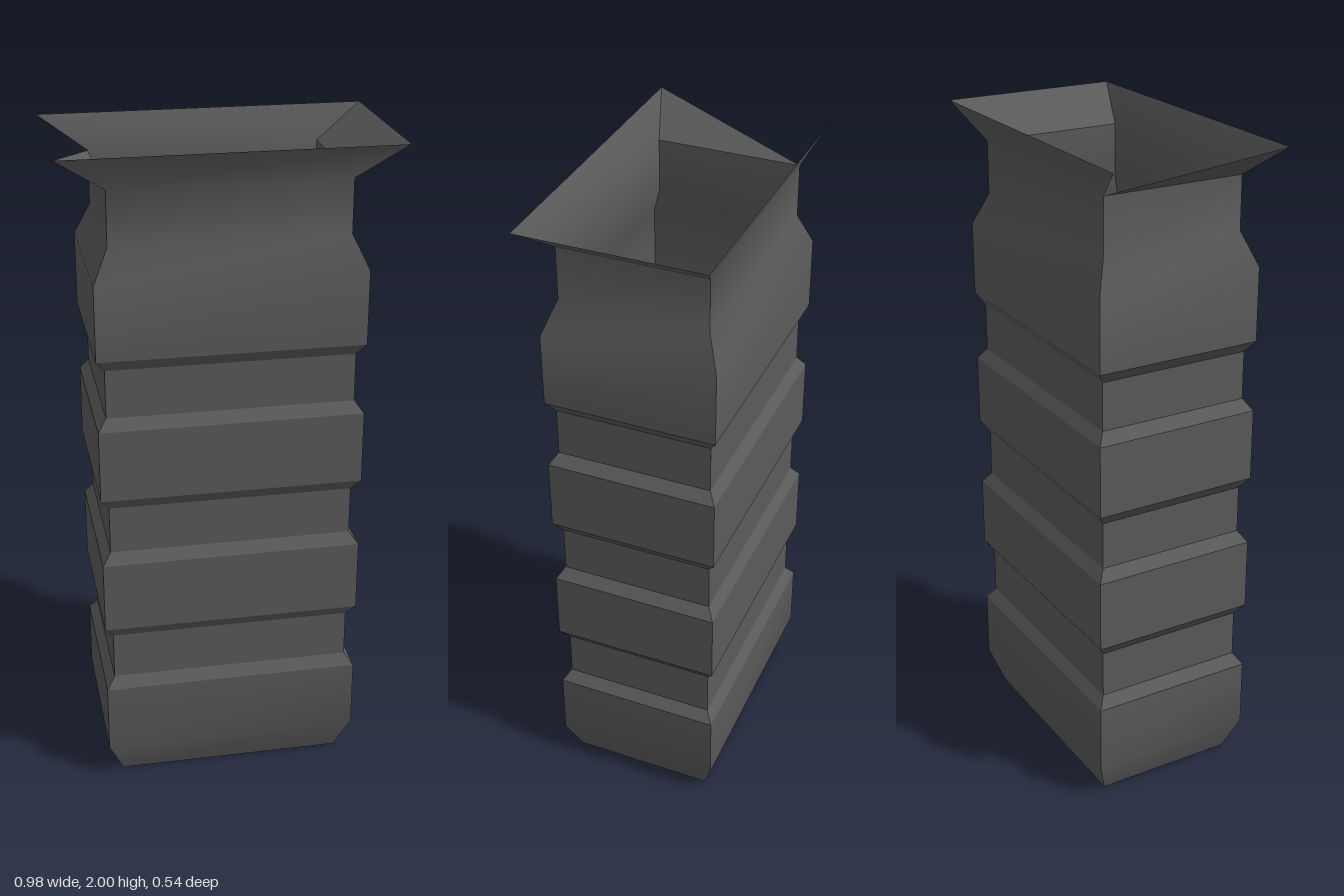
import * as THREE from 'three';
import { toCreasedNormals } from 'three/addons/utils/BufferGeometryUtils.js';

// Rectangular rings from bottom to top: [y, half width, half depth]
const WIDE = [0.393, 0.258], NARROW = [0.367, 0.235], END = [0.347, 0.22];
const rings = [[0, ...END], [0.11, ...WIDE]];
for (const y of [0.325, 0.763, 1.2]) { // three recessed grooves
  rings.push([y, ...WIDE], [y + 0.035, ...NARROW], [y + 0.182, ...NARROW], [y + 0.217, ...WIDE]);
}
rings.push([1.64, ...WIDE], [1.74, ...END], [1.9, ...END], [2, 0.49, 0.272]);

// Corners of one ring, anticlockwise seen from above
const corners = ([y, w, d]) => [[w, y, d], [w, y, -d], [-w, y, -d], [-w, y, d]];

function makeGeometry(triangles) {
  const geometry = new THREE.BufferGeometry();
  geometry.setAttribute('position', new THREE.Float32BufferAttribute(triangles.flat(2), 3));
  return toCreasedNormals(geometry, THREE.MathUtils.degToRad(30));
}

export function createModel() {
  const group = new THREE.Group();
  group.name = 'ribbedContainer';
  const darkGrey = new THREE.MeshStandardMaterial({ color: 0x5a5a5a, side: THREE.DoubleSide });
  darkGrey.name = 'darkGrey';

  // Open ribbed walls with a flared rim
  const walls = [];
  for (let i = 0; i < rings.length - 1; i++) {
    const low = corners(rings[i]), high = corners(rings[i + 1]);
    for (let s = 0; s < 4; s++) {
      const n = (s + 1) % 4;
      walls.push([low[s], low[n], high[n]]);
      // the rim flap on the -x side is only half there
      const tornFlap = i === rings.length - 2 && s === 2;
      if (!tornFlap) walls.push([low[s], high[n], high[s]]);
    }
  }
  const shell = new THREE.Mesh(makeGeometry(walls), darkGrey);
  shell.name = 'ribbedShell';

  // Flat floor
  const [a, b, c, d] = corners(rings[0]);
  const floor = new THREE.Mesh(makeGeometry([[a, c, b], [a, d, c]]), darkGrey);
  floor.name = 'floor';

  group.add(shell, floor);
  return group;
}
